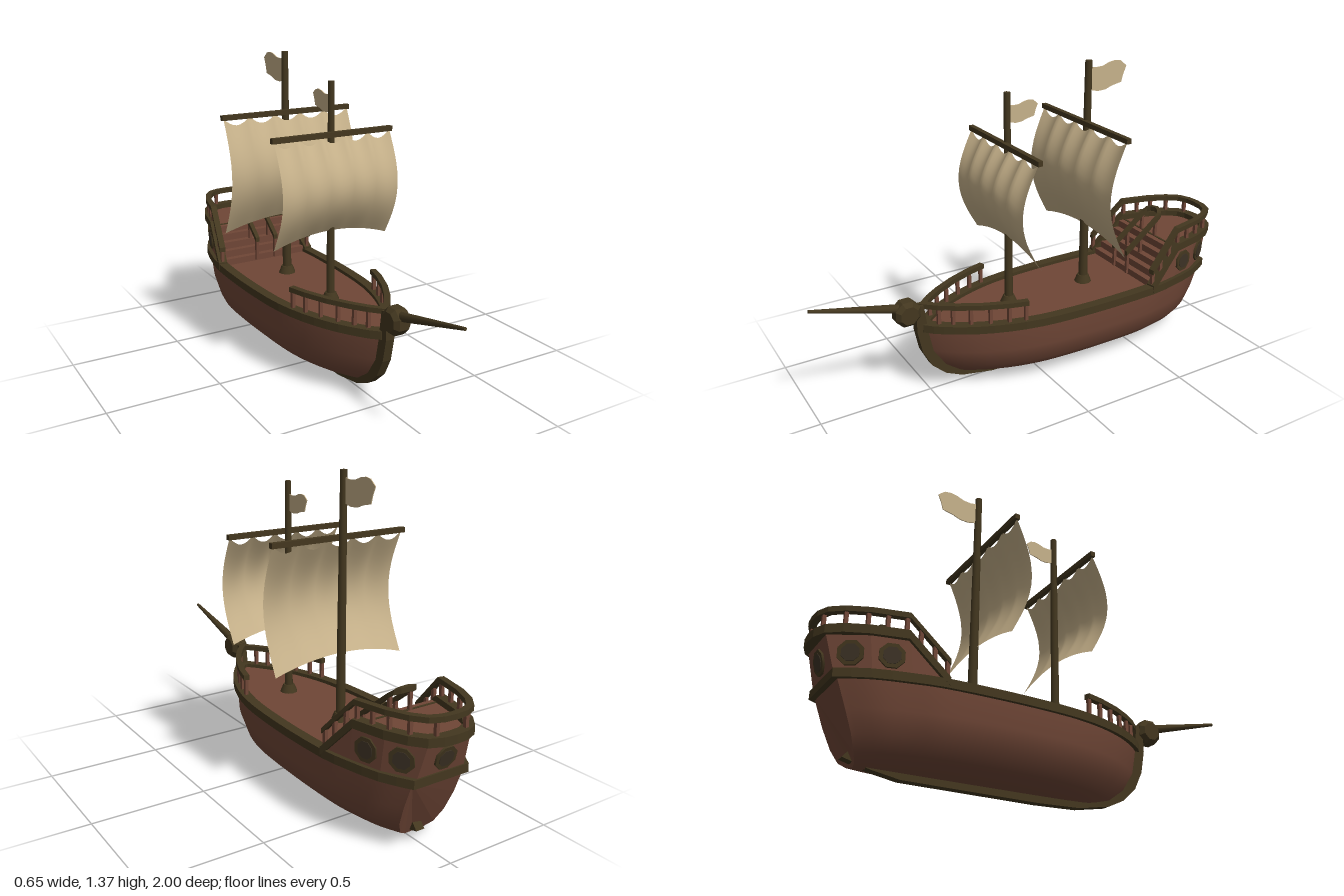
import * as THREE from 'three';

const mat = (name, color, side = THREE.FrontSide) => {
  const m = new THREE.MeshStandardMaterial({ color, side });
  m.name = name;
  return m;
};
const V = (p) => new THREE.Vector3(...p);

// continue a half path (port side, ending at or near the centreline) onto starboard
const mirrorPath = (pts) => [
  ...pts,
  ...pts.filter((p) => p[0] > 0.0001).reverse().map(([x, y, z]) => [-x, y, z]),
];

function faceted(tris) {
  const g = new THREE.BufferGeometry().setFromPoints(tris);
  g.computeVertexNormals();
  return g;
}

// rectangular beam swept along a path, with mitred corners
function beam(path, w, h, closed = false) {
  const P = path.map(V), n = P.length;
  const rings = P.map((p, i) => {
    const prev = closed ? P[(i + n - 1) % n] : P[Math.max(i - 1, 0)];
    const next = closed ? P[(i + 1) % n] : P[Math.min(i + 1, n - 1)];
    const a = p.clone().sub(prev).setY(0).normalize();
    const b = next.clone().sub(p).setY(0).normalize();
    const t = a.clone().add(b).normalize();
    const mitre = Math.min(1 / Math.max(t.dot(a.lengthSq() ? a : b), 0.1), 1.5);
    const s = new THREE.Vector3(t.z, 0, -t.x).multiplyScalar((w / 2) * mitre);
    return [[1, 1], [-1, 1], [-1, -1], [1, -1]].map(([i1, j1]) =>
      p.clone().addScaledVector(s, i1).add(new THREE.Vector3(0, (j1 * h) / 2, 0)));
  });
  const tris = [];
  for (let i = 0; i < (closed ? n : n - 1); i++) {
    const a = rings[i], b = rings[(i + 1) % n];
    for (let k = 0; k < 4; k++) {
      const l = (k + 1) % 4;
      tris.push(a[k], a[l], b[l], a[k], b[l], b[k]);
    }
  }
  if (!closed) {
    const a = rings[0], b = rings[n - 1];
    tris.push(a[0], a[3], a[2], a[0], a[2], a[1], b[0], b[1], b[2], b[0], b[2], b[3]);
  }
  return faceted(tris);
}

// side profile given as (z, y) pairs, extruded across x
function sideProfile(pts, depth) {
  const shape = new THREE.Shape(pts.map((p) => new THREE.Vector2(...p)));
  return new THREE.ExtrudeGeometry(shape, { depth, bevelEnabled: false })
    .translate(0, 0, -depth / 2).rotateY(-Math.PI / 2);
}

// flat deck from a closed (x, y, z) outline
function deckPlate(path, y) {
  const shape = new THREE.Shape(path.map(([x, , z]) => new THREE.Vector2(x, -z)));
  return new THREE.ShapeGeometry(shape).rotateX(-Math.PI / 2).translate(0, y, 0);
}

export function createModel() {
  const wood = mat('redBrownWood', 0x6f4636, THREE.DoubleSide);
  const trim = mat('darkTrim', 0x43371f);
  const cloth = mat('canvas', 0xc6b18a, THREE.DoubleSide);
  const glass = mat('windowGlass', 0x3c3225);
  const ship = new THREE.Group();
  ship.name = 'sailingShip';
  const add = (name, geo, material, pos = [0, 0, 0], parent = ship) => {
    const m = new THREE.Mesh(geo, material);
    m.name = name;
    m.position.set(...pos);
    parent.add(m);
    return m;
  };
  const post = (x, y0, y1, z, r = 0.015) =>
    add('railPost', new THREE.BoxGeometry(r, y1 - y0, r), wood, [x, (y0 + y1) / 2, z]);

  // hull: waterlines scaled from the deck outline
  const outline = new THREE.SplineCurve([
    [0.125, -0.91], [0.182, -0.8], [0.218, -0.66], [0.24, -0.53], [0.246, -0.3], [0.24, -0.1],
    [0.225, 0.06], [0.192, 0.2], [0.145, 0.32], [0.095, 0.41], [0.045, 0.48], [0, 0.53],
  ].map((p) => new THREE.Vector2(...p))).getPoints(44);
  // each level: y, width factor, stern z, bow z
  const levels = [
    [0.32, 1, -0.915, 0.53], [0.2, 0.99, -0.87, 0.505], [0.115, 0.89, -0.835, 0.45],
    [0.06, 0.66, -0.81, 0.38], [0.035, 0.34, -0.79, 0.3], [0.028, 0, -0.78, 0.26],
  ];
  const ringAt = ({ x, y: z }) => mirrorPath(levels.map(([y, f, zs, zb]) =>
    [Math.max(x, 0.004) * f, y, zs + ((zb - zs) * (z + 0.91)) / 1.44]));
  const rings = outline.map(ringAt), m = rings[0].length, index = [];
  for (let i = 0; i < rings.length - 1; i++) {
    for (let j = 0; j < m - 1; j++) {
      const a = i * m + j, b = a + 1, c = a + m, d = c + 1;
      index.push(a, d, b, a, c, d);
    }
  }
  const hull = new THREE.BufferGeometry().setFromPoints(rings.flat().map(V));
  hull.setIndex(index);
  hull.computeVertexNormals();
  add('hull', hull, wood);
  const stern = rings[0].map(V), transom = [];
  for (let j = 1; j < m - 1; j++) transom.push(stern[0], stern[j], stern[j + 1]);
  add('transom', faceted(transom), wood);

  // main deck and the rail round it
  const edge = outline.filter((_, i) => i % 2 === 0);
  add('mainDeck', deckPlate(mirrorPath(edge.map((p) => [p.x, 0, p.y])), 0.325), wood);
  const railPath = mirrorPath(edge.map((p) => [Math.max(p.x - 0.006, 0), 0.323, Math.min(p.y, 0.505)]));
  add('mainRail', beam(railPath, 0.044, 0.036, true), trim);

  // keel and stem
  add('keel', sideProfile([
    [0.555, 0.43], [0.555, 0.31], [0.535, 0.21], [0.495, 0.13], [0.43, 0.07], [0.35, 0.033],
    [0.2, 0.006], [0, 0], [-0.6, 0.004], [-0.72, 0.025], [-0.83, 0.055], [-0.8, 0.09],
    [-0.76, 0.05], [-0.6, 0.034], [0.2, 0.034], [0.33, 0.06], [0.41, 0.115], [0.47, 0.2],
    [0.505, 0.31], [0.52, 0.43],
  ], 0.04), trim);

  // bow drum and bowsprit
  const drum = new THREE.LatheGeometry([[0, -0.04], [0.042, -0.04], [0.06, -0.022], [0.06, 0.022],
    [0.042, 0.04], [0, 0.04]].map((p) => new THREE.Vector2(...p)), 8).toNonIndexed();
  drum.computeVertexNormals();
  add('bowDrum', drum.rotateZ(Math.PI / 2).rotateX(Math.PI / 8), trim, [0, 0.41, 0.592]);
  const sprit = add('bowsprit', new THREE.CylinderGeometry(0.007, 0.024, 0.47, 8), trim, [0, 0.473, 0.772]);
  sprit.rotation.x = Math.PI / 2 - 0.245;

  // foredeck railing
  const foreHalf = [[0.208, 0.12], [0.185, 0.2], [0.14, 0.31], [0.09, 0.4], [0.045, 0.465], [0, 0.515]];
  add('foreRail', beam(mirrorPath(foreHalf.map(([x, z]) => [x, 0.423, z])), 0.026, 0.022), trim);
  for (const s of [1, -1]) {
    for (const [x, z] of [[0.206, 0.13], [0.185, 0.2], [0.155, 0.275], [0.118, 0.35], [0.08, 0.415], [0.045, 0.465]])
      post(s * x, 0.33, 0.42, z);
  }

  // aft cabin walls
  const top = mirrorPath([[0.238, 0.34, -0.53], [0.212, 0.49, -0.67], [0.18, 0.49, -0.82], [0.1, 0.49, -0.965]]).map(V);
  const low = mirrorPath([[0.24, 0.32, -0.53], [0.218, 0.32, -0.66], [0.183, 0.32, -0.8], [0.115, 0.32, -0.92]]).map(V);
  const walls = [];
  for (let i = 0; i < top.length - 1; i++)
    walls.push(low[i], low[i + 1], top[i + 1], low[i], top[i + 1], top[i]);
  add('cabinWalls', faceted(walls), wood);

  // cabin windows, set flat on each wall panel
  for (let i = 1; i < top.length - 2; i++) {
    const e1 = low[i + 1].clone().sub(low[i]).normalize();
    const up = top[i].clone().add(top[i + 1]).sub(low[i]).sub(low[i + 1]);
    const n = e1.clone().cross(up).normalize();
    const win = new THREE.Group();
    win.name = 'window';
    win.position.copy(low[i]).add(low[i + 1]).add(top[i]).add(top[i + 1]).multiplyScalar(0.25);
    win.quaternion.setFromRotationMatrix(new THREE.Matrix4().makeBasis(e1, n.clone().cross(e1), n));
    const pane = (r, d) => new THREE.CylinderGeometry(r, r, d, 8).rotateY(Math.PI / 8).rotateX(Math.PI / 2);
    add('windowFrame', pane(0.052, 0.009), trim, [0, 0, 0.004], win);
    add('windowPane', pane(0.036, 0.004), glass, [0, 0, 0.009], win);
    ship.add(win);
  }

  // aft deck, its edge trim and railing
  const aftHalf = [[0.238, 0.33, -0.52], [0.208, 0.495, -0.68], [0.175, 0.495, -0.82],
    [0.138, 0.495, -0.905], [0.098, 0.495, -0.955], [0.05, 0.495, -0.975], [0, 0.495, -0.979]];
  add('aftDeck', deckPlate(mirrorPath(aftHalf.slice(1)), 0.487), wood);
  add('aftTrim', beam(mirrorPath(aftHalf), 0.042, 0.036), trim);
  const railHalf = aftHalf.map(([x, y, z]) => [x, y + 0.083, z]);
  add('aftRail', beam(mirrorPath(railHalf), 0.028, 0.022), trim);
  for (const s of [1, -1]) {
    for (const [x, y, z] of [[0.236, 0.34, -0.53], [0.227, 0.39, -0.58], [0.216, 0.45, -0.635], [0.207, 0.5, -0.69],
      [0.19, 0.5, -0.76], [0.17, 0.5, -0.83], [0.138, 0.5, -0.905], [0.07, 0.5, -0.967]])
      post(s * x, y, y + 0.078, z);
  }

  // stairs across the ship, with a looped handrail in the middle
  for (let i = 0; i < 5; i++) {
    const h = 0.033 * (i + 1);
    add('step', new THREE.BoxGeometry(0.45 - 0.013 * i, h, 0.032), wood, [0, 0.322 + h / 2, -0.545 - 0.031 * i]);
  }
  add('topStepEdge', new THREE.BoxGeometry(0.4, 0.012, 0.01), trim, [0, 0.484, -0.684]);
  const loop = mirrorPath([[0.05, 0.435, -0.515], [0.05, 0.57, -0.685], [0.046, 0.588, -0.707],
    [0.03, 0.596, -0.722], [0, 0.6, -0.728]]);
  add('stairHandrail', beam(loop, 0.02, 0.022), trim);
  for (const s of [1, -1]) {
    for (const [y0, y1, z] of [[0.33, 0.44, -0.525], [0.38, 0.5, -0.6], [0.48, 0.57, -0.685]])
      post(s * 0.05, y0, y1, z, 0.014);
  }

  // masts with yard, sail and flag
  const flagShape = [[0, 0.11], [-0.03, 0.105], [-0.065, 0.107], [-0.1, 0.12], [-0.13, 0.125], [-0.16, 0.12],
    [-0.19, 0.095], [-0.175, 0.06], [-0.165, 0.025], [-0.14, 0.02], [-0.115, 0.015], [-0.08, 0.002], [-0.04, 0], [0, 0.01]];
  const buildMast = (name, z, height, r, yardY, yardHalf, sailHalf, foot, flagY, flagScale) => {
    const g = new THREE.Group();
    g.name = name;
    g.position.z = z;
    ship.add(g);
    add('mastPole', new THREE.CylinderGeometry(r * 0.72, r, height - 0.32, 10), trim, [0, (height + 0.32) / 2, 0], g);
    add('mastFoot', new THREE.CylinderGeometry(r + 0.006, 0.04, 0.035, 10), trim, [0, 0.342, 0], g);
    add('yard', new THREE.BoxGeometry(yardHalf * 2, 0.022, 0.022), trim, [0, yardY, 0.018], g);
    // billowing sail with a scalloped head and an arched foot
    const sail = new THREE.PlaneGeometry(2, 1, 40, 14), p = sail.attributes.position;
    for (let i = 0; i < p.count; i++) {
      const x = p.getX(i), t = 0.5 - p.getY(i);
      const head = yardY - 0.005 - 0.032 * Math.abs(Math.sin((x + 1) * Math.PI * 2.5));
      const base = foot + 0.05 * (1 - x * x);
      p.setXYZ(i, x * sailHalf, head + (base - head) * t,
        0.02 - 0.016 * t + 0.09 * Math.sin(Math.PI * t) * (0.9 + 0.1 * (1 - x * x)));
    }
    sail.computeVertexNormals();
    add('sail', sail, cloth, [0, 0, 0], g);
    add('flag', sideProfile(flagShape.map(([a, b]) => [a * flagScale, b * flagScale]), 0.004), cloth,
      [0, flagY, -0.01], g);
  };
  buildMast('foreMast', 0.097, 1.285, 0.019, 1.065, 0.29, 0.28, 0.595, 1.15, 0.72);
  buildMast('mainMast', -0.305, 1.37, 0.021, 1.1, 0.325, 0.316, 0.57, 1.23, 1);

  return ship;
}
